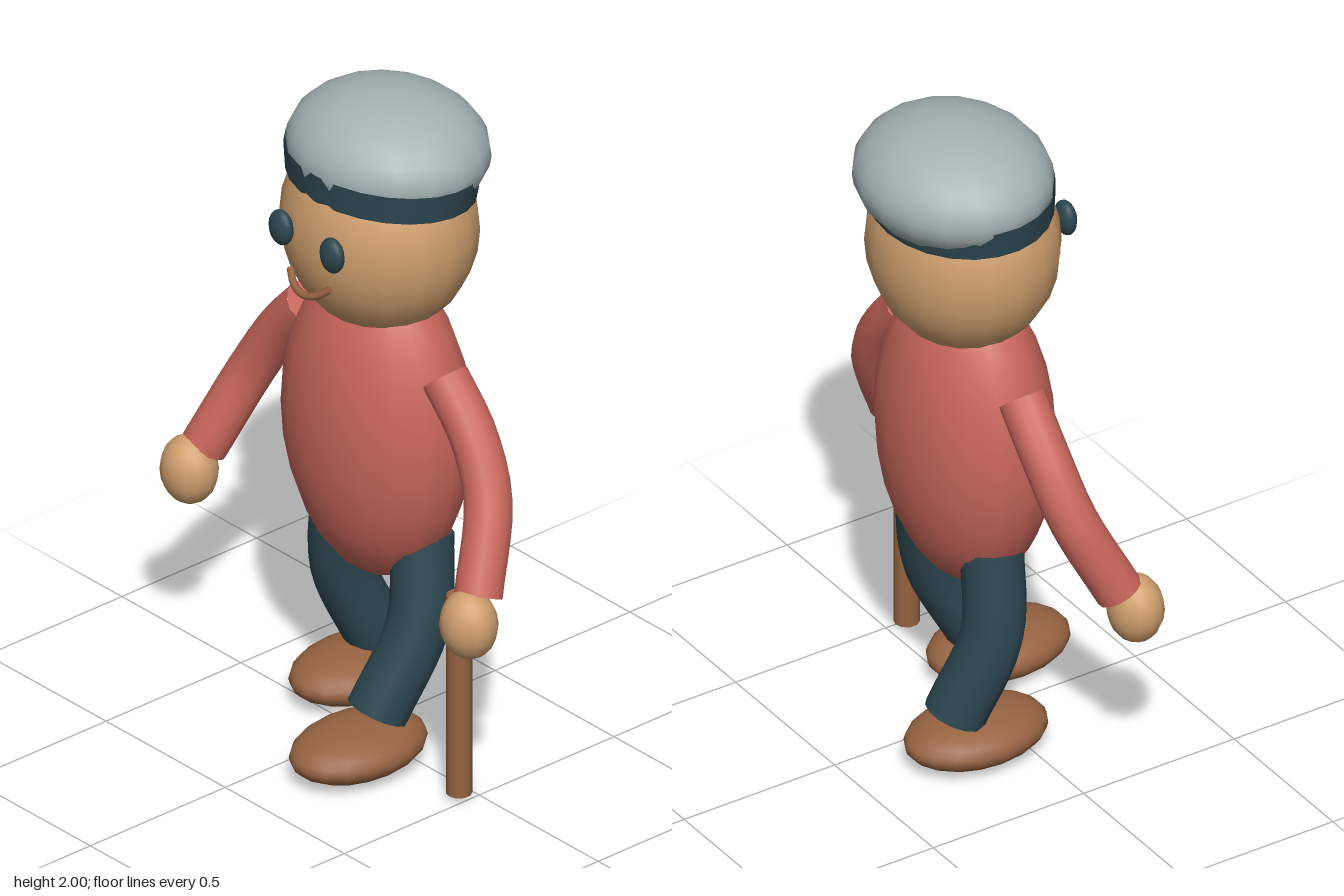
import * as THREE from 'three';
import { mergeGeometries } from 'three/addons/utils/BufferGeometryUtils.js';

function mat(name, color) {
  const m = new THREE.MeshStandardMaterial({ color });
  m.name = name;
  return m;
}

export function createModel() {
  const group = new THREE.Group();
  const skin = mat('skin', 0xcf9f6e);
  const red = mat('red jumper', 0xc8665b);
  const dark = mat('dark teal cloth', 0x2c464f);
  const grey = mat('grey felt', 0xa3b2b3);
  const brown = mat('brown wood and leather', 0x966341);

  function add(name, geometry, material) {
    const mesh = new THREE.Mesh(geometry, material);
    mesh.name = name;
    group.add(mesh);
    return mesh;
  }

  // Stretched sphere given by centre and radii
  function ellipsoid(name, [x, y, z], [rx, ry, rz], material, seg = 18, rows = 14) {
    const g = new THREE.SphereGeometry(1, seg, rows).scale(rx, ry, rz).translate(x, y, z);
    g.computeVertexNormals();
    const p = g.attributes.position, n = g.attributes.normal;
    const v = new THREE.Vector3();
    for (let i = 0; i < p.count; i++) {
      v.set((p.getX(i) - x) / rx ** 2, (p.getY(i) - y) / ry ** 2, (p.getZ(i) - z) / rz ** 2).normalize();
      n.setXYZ(i, v.x, v.y, v.z);
    }
    return add(name, g, material);
  }

  // Round limb along a curve, closed with flat discs
  function limb(name, points, radius, material, steps = 12, sides = 14) {
    const curve = new THREE.CatmullRomCurve3(points.map((p) => new THREE.Vector3(...p)));
    const parts = [new THREE.TubeGeometry(curve, steps, radius, sides, false)];
    for (const t of [0, 1]) {
      const out = curve.getTangentAt(t).multiplyScalar(t ? 1 : -1);
      const q = new THREE.Quaternion().setFromUnitVectors(new THREE.Vector3(0, 0, 1), out);
      const at = curve.getPointAt(t);
      parts.push(new THREE.CircleGeometry(radius, sides).applyQuaternion(q).translate(at.x, at.y, at.z));
    }
    return add(name, mergeGeometries(parts), material);
  }

  // Body and head
  ellipsoid('torso', [0, 0.98, -0.065], [0.318, 0.49, 0.225], red);
  ellipsoid('head', [0, 1.6, -0.073], [0.297, 0.32, 0.267], skin);

  // Flat cap with a slightly tilted band
  ellipsoid('cap', [0, 1.825, -0.105], [0.307, 0.175, 0.273], grey, 18, 16);
  const band = add('capBand', new THREE.CylinderGeometry(1, 0.965, 0.085, 24, 1, true), dark);
  band.material.side = THREE.DoubleSide;
  band.scale.set(0.308, 1, 0.253);
  band.position.set(0, 1.767, -0.083);
  band.rotation.x = -0.07;

  // Smile
  limb('mouth', [[-0.083, 1.505, 0.185], [-0.045, 1.477, 0.205], [0, 1.465, 0.212],
    [0.045, 1.477, 0.205], [0.083, 1.505, 0.185]], 0.011, brown, 12, 8);

  for (const [side, s] of [['left', 1], ['right', -1]]) {
    ellipsoid(side + 'Eye', [0.107 * s, 1.63, 0.198], [0.044, 0.054, 0.027], dark, 14, 10);

    // Arms swing out and forward
    limb(side + 'Arm', [[0.285 * s, 1.22, -0.063], [0.405 * s, 1.085, -0.062],
      [0.498 * s, 0.925, -0.035], [0.575 * s, 0.69, 0.07]], 0.069, red);
    ellipsoid(side + 'Hand', [0.587 * s, 0.627, 0.115], [0.087, 0.104, 0.08], skin, 14, 10);

    // Legs in mid-stride: left forward, right back
    const [knee, ankle, foot] = s > 0 ? [-0.035, 0.085, 0.155] : [-0.11, -0.21, -0.14];
    limb(side + 'Leg', [[0.165 * s, 0.67, -0.085], [0.203 * s, 0.41, knee],
      [0.168 * s, 0.16, ankle]], 0.09, dark);
    ellipsoid(side + 'Shoe', [0.168 * s, 0.078, foot], [0.153, 0.077, 0.22], brown);
  }

  // Walking stick
  const cane = add('walkingStick', new THREE.CylinderGeometry(0.037, 0.037, 0.63, 10), brown);
  cane.position.set(0.476, 0.335, 0.053);

  return group;
}
